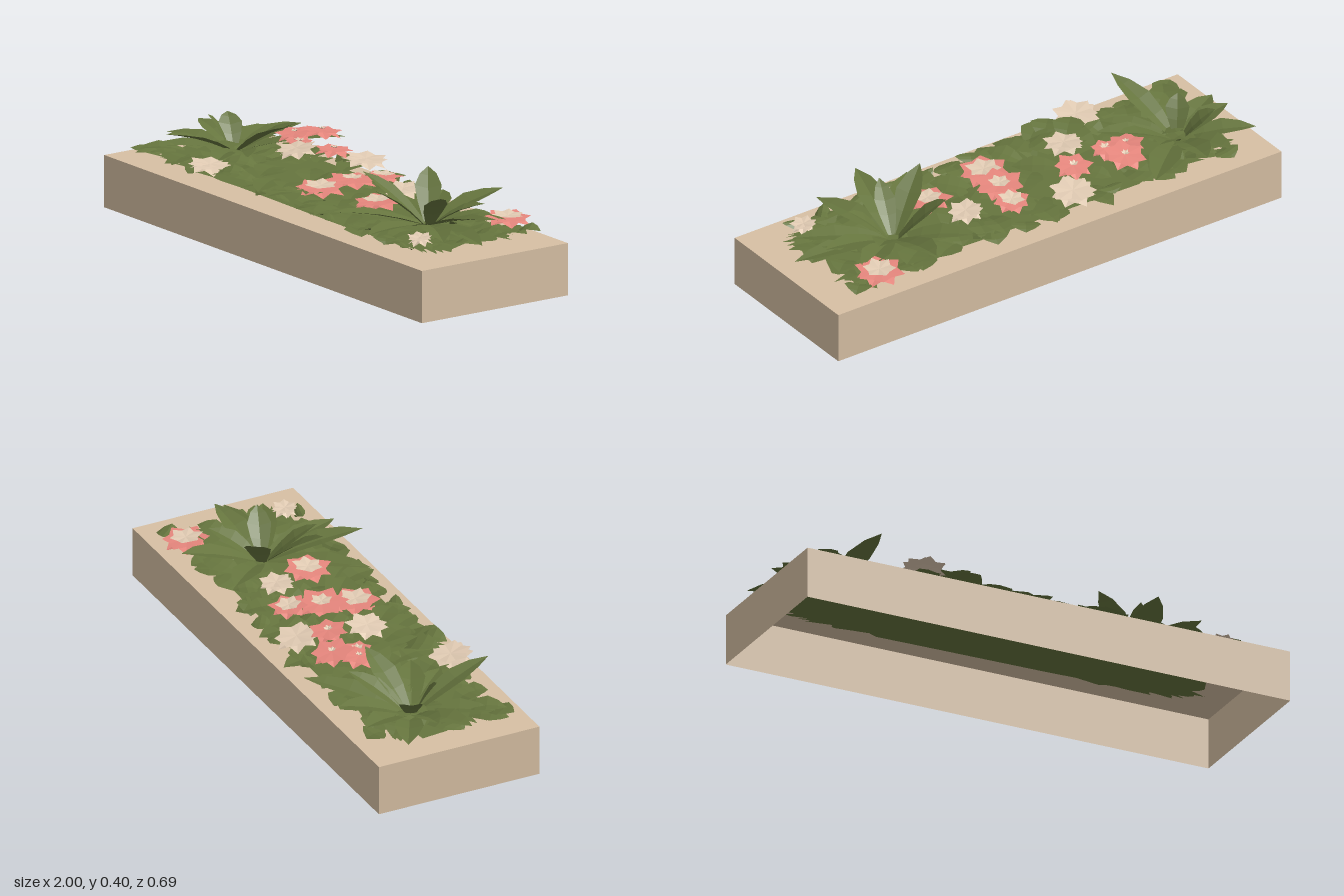
import * as THREE from 'three';

const makeMat = (name, color) =>
  Object.assign(new THREE.MeshStandardMaterial({ color, side: THREE.DoubleSide }), { name });

let seed = 11;
const rnd = (a = 0, b = 1) => {
  seed = (seed * 16807) % 2147483647;
  return a + (b - a) * (seed / 2147483647);
};

function faceted(points, index) {
  const g = new THREE.BufferGeometry();
  g.setAttribute('position', new THREE.Float32BufferAttribute(points, 3));
  g.setIndex(index);
  const flat = g.toNonIndexed();
  flat.computeVertexNormals();
  return flat;
}

// Folded, pointed leaf swept from base to tip, three points per section
function leafGeometry(base, tip, width, arch, fold) {
  const dir = tip.clone().sub(base);
  const side = new THREE.Vector3(-dir.z, 0, dir.x).normalize();
  const sections = [[0, 0.35], [0.3, 0.8], [0.55, 1], [0.8, 0.62], [1, 0]];
  const points = [], index = [];
  sections.forEach(([t, w], i) => {
    const p = base.clone().addScaledVector(dir, t);
    p.y += arch * Math.sin(Math.PI * t);
    for (const s of [1, 0, -1]) {
      const h = (s * width * w) / 2;
      points.push(p.x + side.x * h, p.y + Math.abs(h) * fold, p.z + side.z * h);
    }
    if (i) for (const k of [0, 1]) {
      const a = (i - 1) * 3 + k, b = a + 3;
      index.push(a, b, a + 1, a + 1, b, b + 1);
    }
  });
  return faceted(points, index);
}

// Star of broad pointed petals, cupped up or drooping by lift
function starGeometry(radius, petals, lift) {
  const points = [0, 0, 0], index = [], n = petals * 2;
  for (let i = 0; i < n; i++) {
    const a = (i / n) * Math.PI * 2;
    const r = i % 2 ? radius * 0.72 : radius * rnd(0.92, 1.08);
    points.push(Math.cos(a) * r, i % 2 ? lift * 0.4 : lift, Math.sin(a) * r);
    index.push(0, ((i + 1) % n) + 1, i + 1);
  }
  return faceted(points, index);
}

export function createModel() {
  seed = 11;
  const model = new THREE.Group();
  model.name = 'planter';
  const tan = makeMat('planter tan', 0xd7c0a4);
  const green = makeMat('leaf green', 0x66753e);
  const coral = makeMat('petal coral', 0xf69086);
  const cream = makeMat('petal cream', 0xe2ccb4);
  const add = (parent, name, geometry, material) => {
    const m = new THREE.Mesh(geometry, material);
    m.name = name;
    parent.add(m);
    return m;
  };
  const group = (name) => {
    const g = new THREE.Group();
    g.name = name;
    model.add(g);
    return g;
  };

  // Planter: thin box, open underneath
  const box = new THREE.BoxGeometry(2, 0.2, 0.665);
  box.setIndex([...box.index.array].filter((_, i) => i < 18 || i >= 24));
  box.clearGroups();
  add(model, 'planterBox', box, tan).position.y = 0.1;

  // Ragged mats above and under the lid
  const outline = [];
  for (let i = 0; i < 110; i++) {
    const a = (i / 110) * Math.PI * 2, c = Math.cos(a), s = Math.sin(a), j = rnd(0.95, 1.05);
    outline.push(new THREE.Vector2(
      0.87 * Math.sign(c) * Math.abs(c) ** 0.3 * j,
      0.235 * Math.sign(s) * Math.abs(s) ** 0.3 * j));
  }
  const matGeometry = new THREE.ShapeGeometry(new THREE.Shape(outline)).rotateX(-Math.PI / 2);
  add(model, 'groundMat', matGeometry, green).position.y = 0.217;
  add(model, 'underMat', matGeometry, green).position.y = 0.196;

  // Low leaves over the mat, slightly mounded left of the middle
  const mound = (x) => 0.055 * Math.exp(-(((x + 0.28) / 0.2) ** 2)) + 0.02 * Math.exp(-(((x - 0.08) / 0.15) ** 2));
  const cover = group('groundCover');
  for (let i = 0; i < 17; i++) for (let k = 0; k < 6; k++) {
    const x = -0.8 + i * 0.1 + rnd(-0.04, 0.04), z = -0.2 + k * 0.08 + rnd(-0.03, 0.03);
    const edge = Math.abs(z) / 0.25;
    const a = Math.atan2(z * 3 + rnd(-0.4, 0.4), x * 0.5 + rnd(-0.5, 0.5));
    const len = rnd(0.11, 0.18), y = 0.218 + mound(x) * (1 - edge * edge * 0.8);
    const tip = new THREE.Vector3(
      THREE.MathUtils.clamp(x + Math.cos(a) * len, -0.92, 0.89), Math.max(0.217, y + rnd(-0.012, 0.022)),
      THREE.MathUtils.clamp(z + Math.sin(a) * len, -0.29, 0.27));
    add(cover, 'coverLeaf', leafGeometry(new THREE.Vector3(x, y, z), tip, rnd(0.09, 0.13), rnd(0.004, 0.018), 0.1), green);
  }

  // Two rosettes, each leaf given by its tip and width
  const rosette = (name, center, tips) => {
    const plant = group(name);
    for (const [x, y, z, w] of tips) {
      const tip = new THREE.Vector3(x, y, z);
      const base = tip.clone().sub(center).setY(0).normalize().multiplyScalar(0.02).add(center);
      add(plant, 'rosetteLeaf', leafGeometry(base, tip, w, 0.012, 0.25), green);
    }
  };
  rosette('leftRosette', new THREE.Vector3(0.54, 0.22, -0.03), [
    [0.32, 0.395, 0.11, 0.1], [0.38, 0.388, -0.145, 0.1], [0.7, 0.36, 0.03, 0.09],
    [0.47, 0.36, 0.16, 0.08], [0.7, 0.31, -0.17, 0.1], [0.57, 0.315, -0.35, 0.12],
    [0.45, 0.305, 0.34, 0.11], [0.64, 0.255, 0.32, 0.11], [0.95, 0.235, 0.02, 0.11],
    [0.87, 0.3, -0.06, 0.1], [0.8, 0.26, -0.21, 0.11], [0.87, 0.25, 0.14, 0.11],
    [0.26, 0.25, 0.28, 0.11], [0.33, 0.27, -0.25, 0.11],
  ]);
  rosette('rightRosette', new THREE.Vector3(-0.72, 0.22, -0.06), [
    [-0.43, 0.365, -0.1, 0.1], [-0.78, 0.355, 0.02, 0.09], [-0.85, 0.33, -0.12, 0.09],
    [-0.53, 0.34, -0.22, 0.1], [-0.98, 0.25, -0.2, 0.11], [-0.97, 0.255, 0.07, 0.11],
    [-0.88, 0.24, 0.21, 0.11], [-0.67, 0.345, 0.29, 0.1], [-0.67, 0.29, -0.33, 0.12],
    [-0.81, 0.26, -0.29, 0.11], [-0.42, 0.29, -0.35, 0.12], [-0.45, 0.27, 0.08, 0.11],
    [-0.95, 0.29, -0.06, 0.1], [-0.52, 0.25, 0.17, 0.1],
  ]);

  // Small spreading leaves along the long edges
  const rim = group('rimLeaves');
  for (const [x, z] of [[-0.24, -0.34], [0, -0.32], [0.2, -0.28], [-0.22, 0.27], [-0.06, 0.28], [0.1, 0.25], [0.26, 0.29], [-0.88, 0.26]]) {
    add(rim, 'rimLeaf', leafGeometry(new THREE.Vector3(x * 0.9, 0.23, z * 0.45), new THREE.Vector3(x, 0.24, z), 0.11, 0.012, 0.15), green);
  }

  // Flowers: x, y, z, radius, size of the cream heart (1 = all cream)
  const flowers = group('flowers');
  for (const [x, y, z, r, heart] of [
    [-0.38, 0.345, -0.21, 0.085, 0.2], [-0.44, 0.335, -0.13, 0.075, 0.2], [-0.37, 0.32, -0.1, 0.06, 0.4],
    [-0.2, 0.325, -0.135, 0.075, 0.25], [-0.13, 0.285, -0.23, 0.09, 1], [-0.25, 0.335, 0, 0.08, 1],
    [-0.47, 0.262, 0.235, 0.09, 1], [0.09, 0.285, -0.15, 0.075, 0.7], [0.06, 0.285, -0.03, 0.1, 0.45],
    [0.04, 0.272, 0.1, 0.1, 0.7], [0.27, 0.28, -0.11, 0.07, 1], [0.33, 0.275, 0.05, 0.095, 0.65],
    [0.75, 0.26, -0.24, 0.095, 0.7], [0.79, 0.255, 0.19, 0.05, 1],
  ]) {
    const f = new THREE.Group();
    f.name = 'flower';
    f.position.set(x, y, z);
    f.rotation.set(rnd(-0.1, 0.1), rnd(0, 3), rnd(-0.1, 0.1));
    flowers.add(f);
    const petal = heart === 1 ? cream : coral;
    add(f, 'lowerPetals', starGeometry(r * 0.9, 6, -0.022), petal).rotation.y = 0.5;
    add(f, 'outerPetals', starGeometry(r, 6, 0.004), petal);
    const inner = add(f, 'innerPetals', starGeometry(r * heart * 0.95, 6, 0.008), cream);
    inner.position.y = 0.006;
    inner.rotation.y = 0.25;
  }
  return model;
}
